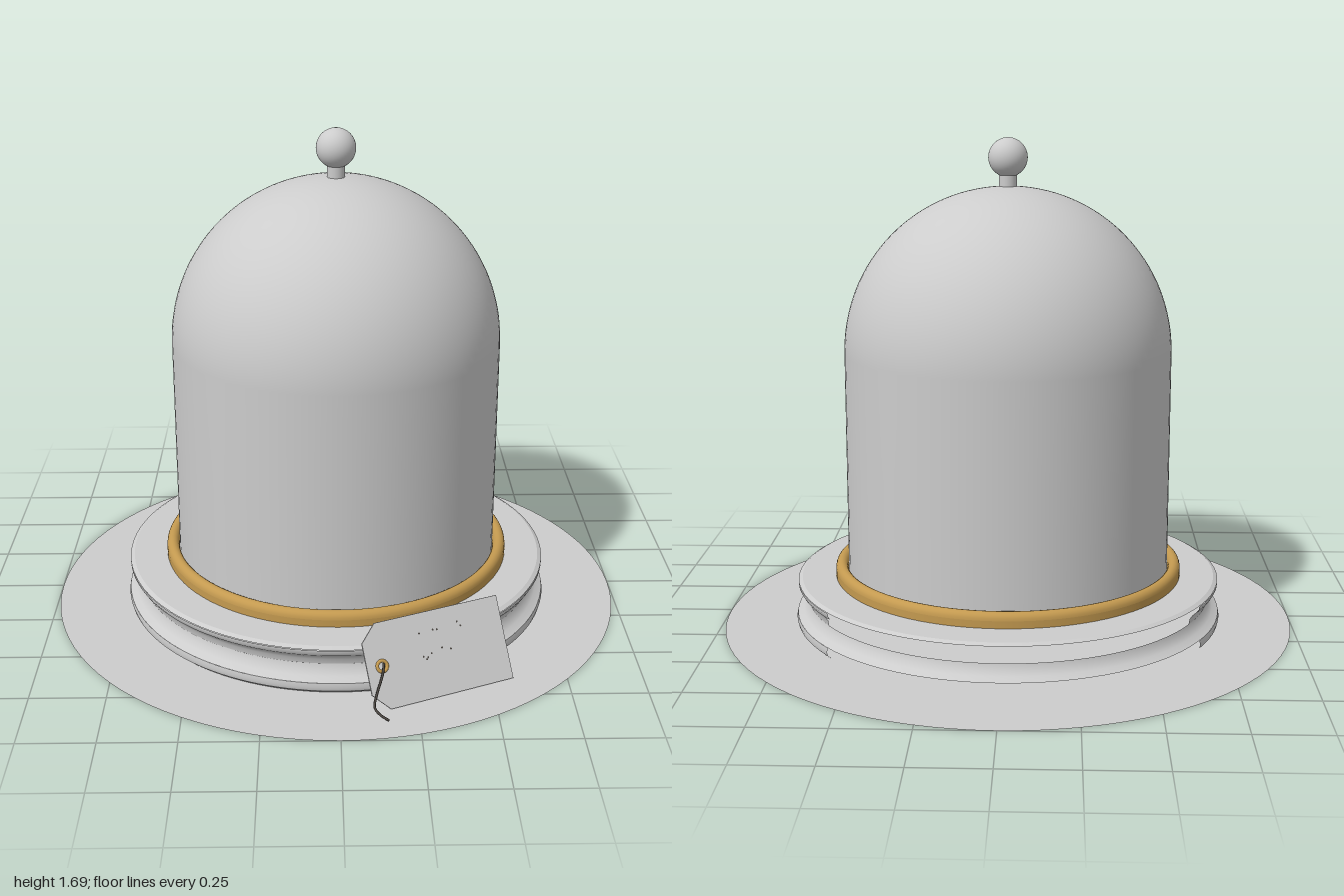
import * as THREE from 'three';

const mat = (name, color, side = THREE.FrontSide) => {
  const m = new THREE.MeshStandardMaterial({ color, side });
  m.name = name;
  return m;
};

export function createModel() {
  const group = new THREE.Group();
  const grey = mat('paleGrey', 0xcccccc);
  const sheet = mat('sheetGrey', 0xcccccc, THREE.DoubleSide);
  const brass = mat('brass', 0xc49a50);
  const dark = mat('darkString', 0x4a4540, THREE.DoubleSide);

  const add = (name, geometry, material, parent = group) => {
    const mesh = new THREE.Mesh(geometry, material);
    mesh.name = name;
    parent.add(mesh);
    return mesh;
  };
  // Revolved strip, angles in degrees measured from +z towards +x
  const lathe = (name, pts, material, from = 0, to = 360) => add(name,
    new THREE.LatheGeometry(pts.map(p => new THREE.Vector2(...p)), 96,
      THREE.MathUtils.degToRad(from), THREE.MathUtils.degToRad(to - from)), material);
  const arc = (r0, y0, rx, ry, a0, a1, n) => Array.from({ length: n + 1 }, (_, i) => {
    const a = a0 + (a1 - a0) * i / n;
    return [Math.max(0, r0 + rx * Math.cos(a)), y0 + ry * Math.sin(a)];
  });

  // Ground disc
  add('groundDisc', new THREE.CircleGeometry(1, 96).rotateX(-Math.PI / 2), sheet);

  // Turned base: its outer beads and upper cove are open at the back
  lathe('baseBottomBevel', [[0.735, 0.004], [0.747, 0.015]], grey, -119, 129);
  lathe('baseBottomBead', [[0.747, 0.015], [0.75, 0.028], [0.747, 0.043]], grey, -119, 129);
  lathe('baseLowerCove', [[0.747, 0.043], [0.725, 0.056], [0.711, 0.073], [0.706, 0.092]], grey);
  lathe('baseUpperCove', [[0.706, 0.092], [0.709, 0.11], [0.718, 0.125], [0.735, 0.138]], grey, -119, 124);
  lathe('baseTopBead', [[0.735, 0.138], [0.742, 0.15], [0.742, 0.16]], grey, -119, 129);
  lathe('baseTopBevel', [[0.742, 0.162], [0.728, 0.17]], grey);
  lathe('baseTop', [[0.728, 0.17], [0, 0.17]], grey);

  // Brass seat ring
  lathe('ringWall', [[0.61, 0.17], [0.61, 0.195]], brass);
  lathe('ringTop', arc(0.588, 0.195, 0.022, 0.025, 0, Math.PI, 10), brass);

  // Dome with its knob
  lathe('dome', [[0.565, 0.17], [0.565, 0.6], ...arc(0, 0.963, 0.565, 0.565, 0, Math.PI / 2, 32)], grey);
  add('knobNeck', new THREE.CylinderGeometry(0.03, 0.03, 0.06, 32), grey).position.y = 1.545;
  add('knob', new THREE.SphereGeometry(0.067, 40, 28), grey).position.y = 1.625;

  // Leaning tag: local x runs along its length, y up its slope, z out of its face
  const tag = new THREE.Group();
  tag.name = 'tag';
  const ax = new THREE.Vector3(0.918, 0, -0.397).normalize();
  const up = new THREE.Vector3(-0.055, 0.24, -0.12);
  const az = new THREE.Vector3().crossVectors(ax, up).normalize();
  const ay = new THREE.Vector3().crossVectors(az, ax);
  tag.applyMatrix4(new THREE.Matrix4().makeBasis(ax, ay, az).setPosition(0.57, 0.008, 0.665));
  group.add(tag);

  const outline = [[0, 0], [0, 0.274], [-0.445, 0.274], [-0.5, 0.219], [-0.5, 0.055], [-0.445, 0]];
  const shape = new THREE.Shape(outline.map(p => new THREE.Vector2(...p)));
  const hole = new THREE.Path();
  hole.absarc(-0.447, 0.137, 0.012, 0, Math.PI * 2);
  shape.holes.push(hole);
  add('tagCard', new THREE.ExtrudeGeometry(shape, { depth: 0.006, bevelEnabled: false })
    .translate(0, 0, -0.003), grey, tag);
  add('eyelet', new THREE.TorusGeometry(0.017, 0.006, 10, 28), brass, tag).position.set(-0.447, 0.137, 0.002);

  // Small ink specks on the card
  const specks = [[-0.3, 0.21], [-0.25, 0.212], [-0.235, 0.21], [-0.16, 0.22], [-0.15, 0.205],
    [-0.3, 0.135], [-0.285, 0.13], [-0.27, 0.14], [-0.23, 0.15], [-0.2, 0.14], [-0.29, 0.125]];
  for (const [x, y] of specks) {
    add('inkSpeck', new THREE.CircleGeometry(0.0035, 8), dark, tag).position.set(x, y, 0.004);
  }

  // String hanging from the eyelet
  const path = new THREE.CatmullRomCurve3([[0.14, 0.135, 0.775], [0.135, 0.115, 0.81], [0.115, 0.065, 0.85],
    [0.108, 0.035, 0.873], [0.125, 0.02, 0.892], [0.152, 0.008, 0.905]].map(p => new THREE.Vector3(...p)));
  add('string', new THREE.TubeGeometry(path, 32, 0.004, 8), dark);

  return group;
}
